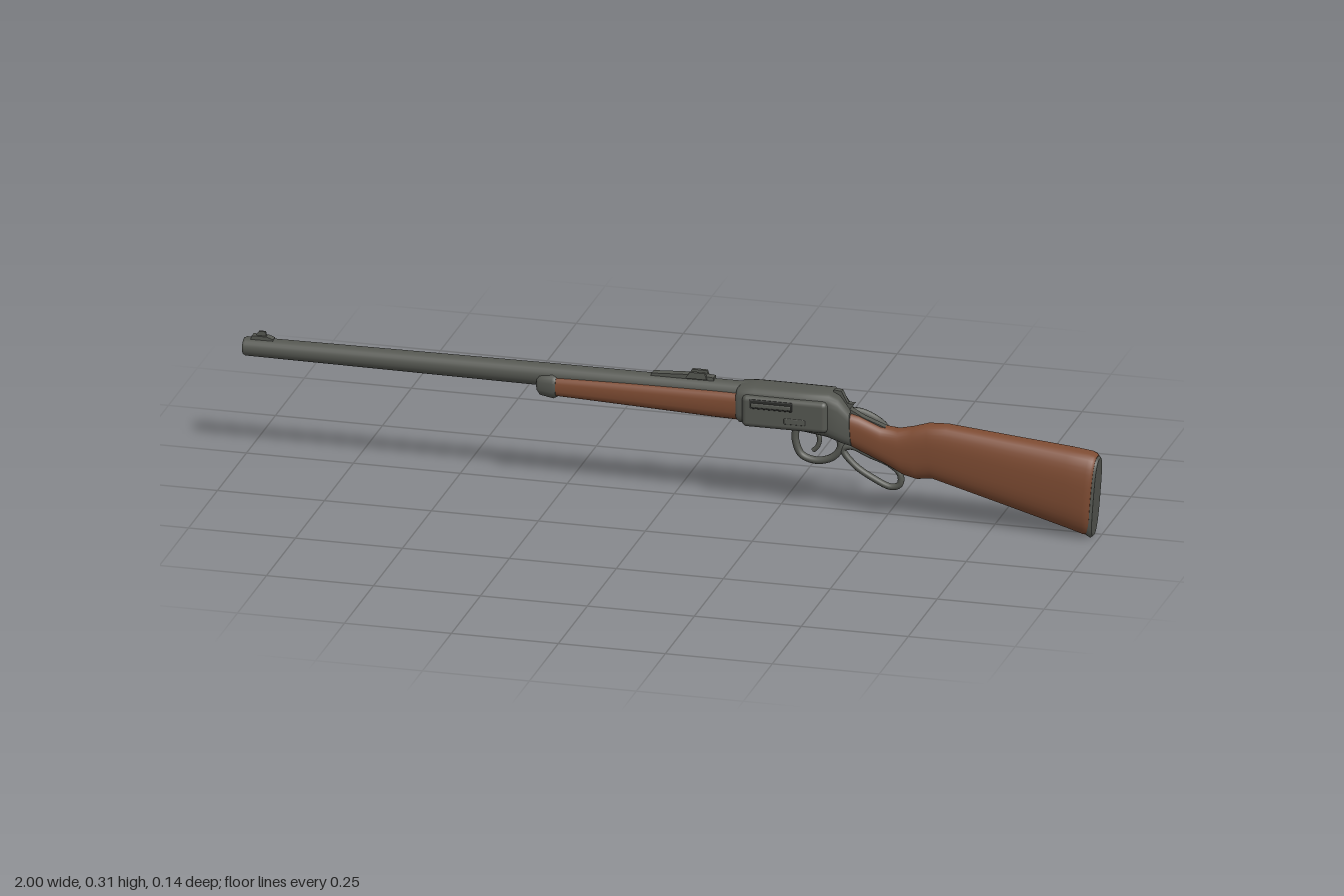
import * as THREE from 'three';
import { RoundedBoxGeometry } from 'three/addons/geometries/RoundedBoxGeometry.js';

const ZC = 0.02; // centre plane of the rifle

const metal = new THREE.MeshStandardMaterial({ color: 0x555751 });
metal.name = 'gunmetal';
const wood = new THREE.MeshStandardMaterial({ color: 0x7d4b32 });
wood.name = 'walnut';
const dark = new THREE.MeshStandardMaterial({ color: 0x2b2c2a });
dark.name = 'dark recess';

// Loft along +x through superellipse sections [xTop, yTop, xBottom, yBottom, halfWidth]
function loft(sections, power = 0.8, n = 28) {
  const pos = [], idx = [];
  const sp = (v) => Math.sign(v) * Math.abs(v) ** power;
  const ring = ([xt, yt, xb, yb, w]) => {
    for (let j = 0; j < n; j++) {
      const a = (j / n) * Math.PI * 2;
      const t = (1 + sp(Math.cos(a))) / 2;
      pos.push(xb + (xt - xb) * t, yb + (yt - yb) * t, w * sp(Math.sin(a)));
    }
  };
  sections.forEach(ring);
  for (let i = 0; i < sections.length - 1; i++) {
    for (let j = 0; j < n; j++) {
      const a = i * n + j, b = i * n + (j + 1) % n;
      idx.push(a, b, a + n, b, b + n, a + n);
    }
  }
  // flat end caps with their own vertices
  [sections[0], sections[sections.length - 1]].forEach((s, end) => {
    const base = pos.length / 3;
    ring(s);
    pos.push((s[0] + s[2]) / 2, (s[1] + s[3]) / 2, 0);
    for (let j = 0; j < n; j++) {
      const a = base + j, b = base + (j + 1) % n;
      if (end) idx.push(base + n, a, b);
      else idx.push(base + n, b, a);
    }
  });
  const g = new THREE.BufferGeometry();
  g.setAttribute('position', new THREE.Float32BufferAttribute(pos, 3));
  g.setIndex(idx);
  g.computeVertexNormals();
  return g;
}

const straight = (rows) => rows.map(([x, t, b, w]) => [x, t, x, b, w]);

// Round tube through [x, y, z] points
function tube(points, r, closed = false) {
  const curve = new THREE.CatmullRomCurve3(points.map((p) => new THREE.Vector3(...p)), closed);
  return new THREE.TubeGeometry(curve, 56, r, 10, closed);
}

// Side outline [x, y] extruded symmetrically about the centre plane
function slab(points, width) {
  const shape = new THREE.Shape(points.map((p) => new THREE.Vector2(...p)));
  return new THREE.ExtrudeGeometry(shape, { depth: width, bevelEnabled: false }).translate(0, 0, -width / 2);
}

export function createModel() {
  const rifle = new THREE.Group();
  rifle.name = 'leverActionRifle';
  const add = (name, geo, mat, x = 0, y = 0, z = 0) => {
    const m = new THREE.Mesh(geo, mat);
    m.name = name;
    m.position.set(x, y, ZC + z);
    rifle.add(m);
    return m;
  };

  // Barrel, slightly thicker towards the receiver
  add('barrel', loft(straight([
    [-1, 0.286, 0.248, 0.019], [-0.994, 0.289, 0.245, 0.022],
    [-0.3, 0.294, 0.241, 0.025], [0.18, 0.295, 0.241, 0.025],
  ]), 1, 24), metal);
  add('bore', new THREE.CylinderGeometry(0.011, 0.011, 0.004, 20).rotateZ(Math.PI / 2), dark, -0.9995, 0.267);

  // Front sight
  add('frontSightBase', slab([[-0.985, 0.28], [-0.93, 0.28], [-0.93, 0.291], [-0.945, 0.296], [-0.98, 0.296]], 0.018), metal);
  add('frontSightBlade', slab([[-0.975, 0.29], [-0.945, 0.29], [-0.95, 0.306], [-0.965, 0.306]], 0.006), metal);

  // Wooden fore-end and its metal cap
  add('foreEnd', loft(straight([
    [-0.275, 0.274, 0.223, 0.033], [-0.1, 0.277, 0.217, 0.036],
    [0.1, 0.279, 0.209, 0.037], [0.17, 0.279, 0.207, 0.036],
  ]), 0.7), wood);
  add('foreEndCap', loft(straight([
    [-0.31, 0.27, 0.23, 0.027], [-0.303, 0.277, 0.221, 0.033],
    [-0.272, 0.28, 0.216, 0.037], [-0.264, 0.276, 0.22, 0.035],
  ]), 0.75), metal);

  // Rear sight: sloping leaf, elevator and forked notch
  add('rearSightLeaf', slab([[-0.05, 0.285], [0.1, 0.285], [0.1, 0.3], [0.06, 0.304], [-0.045, 0.298]], 0.02), metal);
  for (const s of [-1, 1]) {
    add('rearSightFork', slab([[0.035, 0.295], [0.085, 0.295], [0.08, 0.31], [0.045, 0.31]], 0.008), metal, 0, 0, s * 0.0105);
  }

  // Receiver
  add('receiver', loft([
    [0.158, 0.286, 0.158, 0.21, 0.036], [0.165, 0.294, 0.165, 0.204, 0.041],
    [0.2, 0.296, 0.2, 0.203, 0.043], [0.3, 0.296, 0.3, 0.198, 0.044],
    [0.375, 0.296, 0.37, 0.188, 0.043], [0.395, 0.286, 0.4, 0.176, 0.037],
    [0.42, 0.252, 0.425, 0.168, 0.029],
  ], 0.55), metal);
  add('sidePlate', new RoundedBoxGeometry(0.2, 0.075, 0.03, 3, 0.012), metal, 0.275, 0.242, 0.037);
  add('ejectionPort', new RoundedBoxGeometry(0.1, 0.022, 0.006, 2, 0.0025), dark, 0.245, 0.262, 0.0505);
  add('breechBolt', new RoundedBoxGeometry(0.094, 0.011, 0.007, 2, 0.003), metal, 0.245, 0.26, 0.0515);
  add('loadingGate', new RoundedBoxGeometry(0.05, 0.014, 0.005, 2, 0.002), metal, 0.3, 0.228, 0.0505);
  add('rearSlot', new RoundedBoxGeometry(0.055, 0.014, 0.005, 2, 0.002), dark, 0.26, 0.25, -0.042);
  for (const [x, y] of [[0.2, 0.222], [0.35, 0.215]]) {
    add('receiverScrew', new THREE.CylinderGeometry(0.006, 0.006, 0.092, 14).rotateX(Math.PI / 2), metal, x, y);
  }

  // Hammer and upper tang
  add('hammer', slab([[0.375, 0.25], [0.41, 0.235], [0.418, 0.255], [0.428, 0.268], [0.412, 0.268], [0.398, 0.296], [0.38, 0.298]], 0.014), metal);
  add('upperTang', slab([[0.4, 0.225], [0.5, 0.205], [0.502, 0.219], [0.45, 0.238], [0.41, 0.26]], 0.018), metal);

  // Curved side handle behind the receiver, ending in a knob
  add('sideHandle', tube([
    [0.365, 0.215, -0.03], [0.385, 0.222, -0.055], [0.42, 0.222, -0.068],
    [0.455, 0.206, -0.075], [0.475, 0.188, -0.08], [0.482, 0.178, -0.076],
  ], 0.0095), metal);
  add('sideHandleKnob', new THREE.SphereGeometry(0.0125, 16, 12), metal, 0.483, 0.178, -0.076);

  // Trigger guard and finger loop lever
  add('triggerGuard', tube([
    [0.29, 0.2, 0], [0.289, 0.165, 0], [0.303, 0.133, 0], [0.338, 0.122, 0],
    [0.375, 0.133, 0], [0.394, 0.158, 0], [0.39, 0.19, 0],
  ], 0.0085), metal);
  add('leverLoop', tube([
    [0.4, 0.155, 0], [0.425, 0.121, 0], [0.47, 0.092, 0], [0.513, 0.075, 0], [0.533, 0.083, 0],
    [0.533, 0.108, 0], [0.51, 0.129, 0], [0.46, 0.148, 0], [0.42, 0.163, 0],
  ], 0.0075, true), metal);
  add('trigger', tube([[0.335, 0.2, 0], [0.345, 0.175, 0], [0.34, 0.155, 0], [0.33, 0.145, 0]], 0.0055), metal);

  // Shoulder stock, swelling from wrist to butt
  add('stock', loft([
    [0.405, 0.25, 0.41, 0.172, 0.026], [0.44, 0.242, 0.45, 0.154, 0.027],
    [0.49, 0.221, 0.505, 0.13, 0.027], [0.53, 0.217, 0.545, 0.109, 0.028],
    [0.565, 0.225, 0.575, 0.102, 0.03], [0.6, 0.236, 0.61, 0.107, 0.032],
    [0.645, 0.238, 0.65, 0.096, 0.034], [0.8, 0.223, 0.8, 0.055, 0.04],
    [0.93, 0.211, 0.93, 0.019, 0.046], [0.98, 0.205, 0.965, 0.008, 0.046],
    [0.99, 0.201, 0.975, 0.008, 0.043], [0.995, 0.196, 0.98, 0.01, 0.038],
  ], 0.78, 36), wood);
  add('buttPlate', loft([
    [0.988, 0.193, 0.973, 0.005, 0.036], [0.996, 0.194, 0.981, 0.001, 0.036],
    [1, 0.19, 0.986, 0.005, 0.032],
  ], 0.7, 36), metal);

  return rifle;
}
